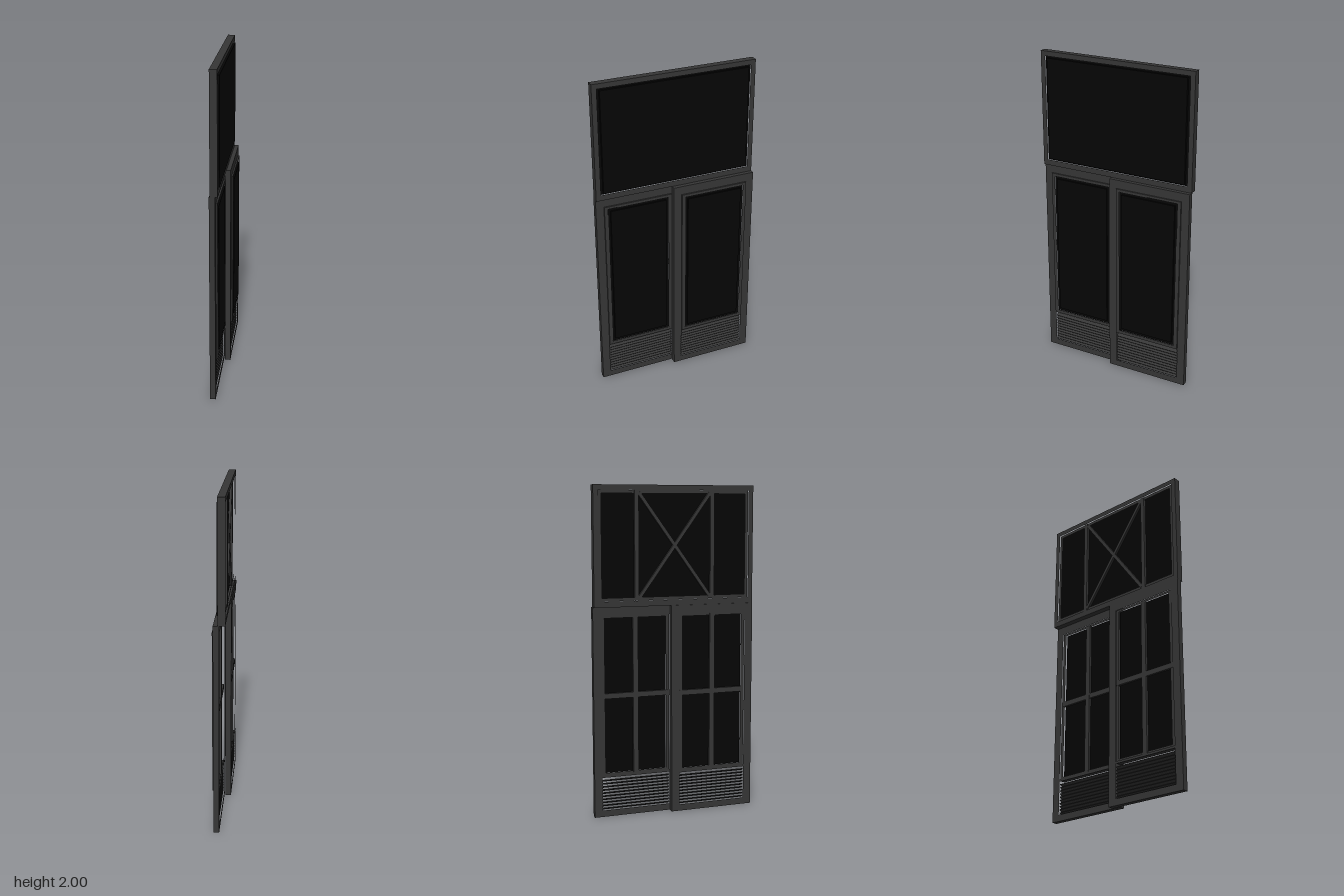
import * as THREE from 'three';

const frameMat = new THREE.MeshStandardMaterial({ color: 0x363636 });
const glassMat = new THREE.MeshStandardMaterial({ color: 0x050505 });

function add(parent, name, geometry, material = frameMat) {
  const mesh = new THREE.Mesh(geometry, material);
  mesh.name = name;
  parent.add(mesh);
  return mesh;
}

// box given by its limits
function box(parent, name, [x0, x1], [y0, y1], [z0, z1], material) {
  const mesh = add(parent, name, new THREE.BoxGeometry(x1 - x0, y1 - y0, z1 - z0), material);
  mesh.position.set((x0 + x1) / 2, (y0 + y1) / 2, (z0 + z1) / 2);
  return mesh;
}

function trace(path, [y0, y1], [z0, z1]) {
  path.moveTo(-z0, y0);
  path.lineTo(-z1, y0);
  path.lineTo(-z1, y1);
  path.lineTo(-z0, y1);
  path.closePath();
  return path;
}

// upright panel across z with rectangular openings, thick along x
function panel(parent, name, [x0, x1], y, z, holes) {
  const shape = trace(new THREE.Shape(), y, z);
  for (const [hy, hz] of holes) shape.holes.push(trace(new THREE.Path(), hy, hz));
  const geometry = new THREE.ExtrudeGeometry(shape, { depth: x1 - x0, bevelEnabled: false });
  geometry.rotateY(Math.PI / 2).translate(x0, 0, 0);
  return add(parent, name, geometry);
}

// one sliding leaf, centred on its own z = 0, back face at x = 0
function createDoor(name) {
  const door = new THREE.Group();
  door.name = name;
  const inner = [-0.215, 0.215];
  panel(door, 'doorFrame', [0, 0.034], [0, 1.285], [-0.265, 0.265],
    [[[0.26, 1.23], inner], [[0.04, 0.245], inner]]);

  // raised bead around the pane
  panel(door, 'glazingBead', [0.006, 0.043], [0.25, 1.232], [-0.215, 0.215],
    [[[0.272, 1.217], [-0.193, 0.193]]]);
  box(door, 'glass', [0.018, 0.036], [0.27, 1.22], [-0.195, 0.195], glassMat);
  box(door, 'glassFace', [0.036, 0.046], [0.29, 1.2], [-0.177, 0.177], glassMat);

  // glazing bars behind the pane
  box(door, 'verticalBar', [0.003, 0.02], [0.26, 1.23], [-0.016, 0.016]);
  box(door, 'horizontalBar', [0.004, 0.02], [0.73, 0.762], inner);

  // tilted louvre slats
  for (let i = 0; i < 10; i++) {
    const slat = add(door, 'louvreSlat', new THREE.BoxGeometry(0.026, 0.004, 0.43));
    slat.position.set(0.017, 0.047 + i * 0.0195, 0);
    slat.rotation.z = -0.55;
  }
  return door;
}

// fixed upper window with a diamond of glazing bars
function createTransom() {
  const transom = new THREE.Group();
  transom.name = 'transomWindow';
  const y = [1.32, 1.97], z = [-0.475, 0.475];
  panel(transom, 'transomFrame', [-0.04, 0.004], [1.285, 2], [-0.505, 0.505], [[y, z]]);
  box(transom, 'transomGlass', [-0.02, -0.004], y, z, glassMat);
  box(transom, 'transomGlassFace', [-0.004, 0.011], [1.33, 1.96], [-0.46, 0.46], glassMat);

  // slim rebate on the back
  panel(transom, 'transomRebate', [-0.032, -0.018], y, z, [[[1.34, 1.95], [-0.455, 0.455]]]);

  for (const side of [-1, 1]) {
    const c = side * 0.24;
    box(transom, 'transomVerticalBar', [-0.036, -0.018], y, [c - 0.013, c + 0.013]);
    for (const up of [-1, 1]) {
      const dz = side * 0.225, dy = up * 0.31;
      const bar = add(transom, 'diamondBar', new THREE.BoxGeometry(0.016, 0.02, Math.hypot(dz, dy)));
      bar.position.set(-0.027, 1.645 + dy / 2, dz / 2);
      bar.rotation.x = Math.atan2(dy, dz);
    }
  }
  return transom;
}

export function createModel() {
  const model = new THREE.Group();
  model.name = 'slidingDoorsWithTransom';

  // the two leaves run on parallel tracks and overlap in the middle
  const rearDoor = createDoor('rearTrackDoor');
  rearDoor.position.set(-0.045, 0, 0.24);
  const frontDoor = createDoor('frontTrackDoor');
  frontDoor.position.set(-0.004, 0, -0.24);
  model.add(rearDoor, frontDoor, createTransom());

  // diamond bars lean with opposite sign about x
  model.traverse((o) => {
    if (o.name === 'diamondBar') o.rotation.x *= -1;
  });
  return model;
}
